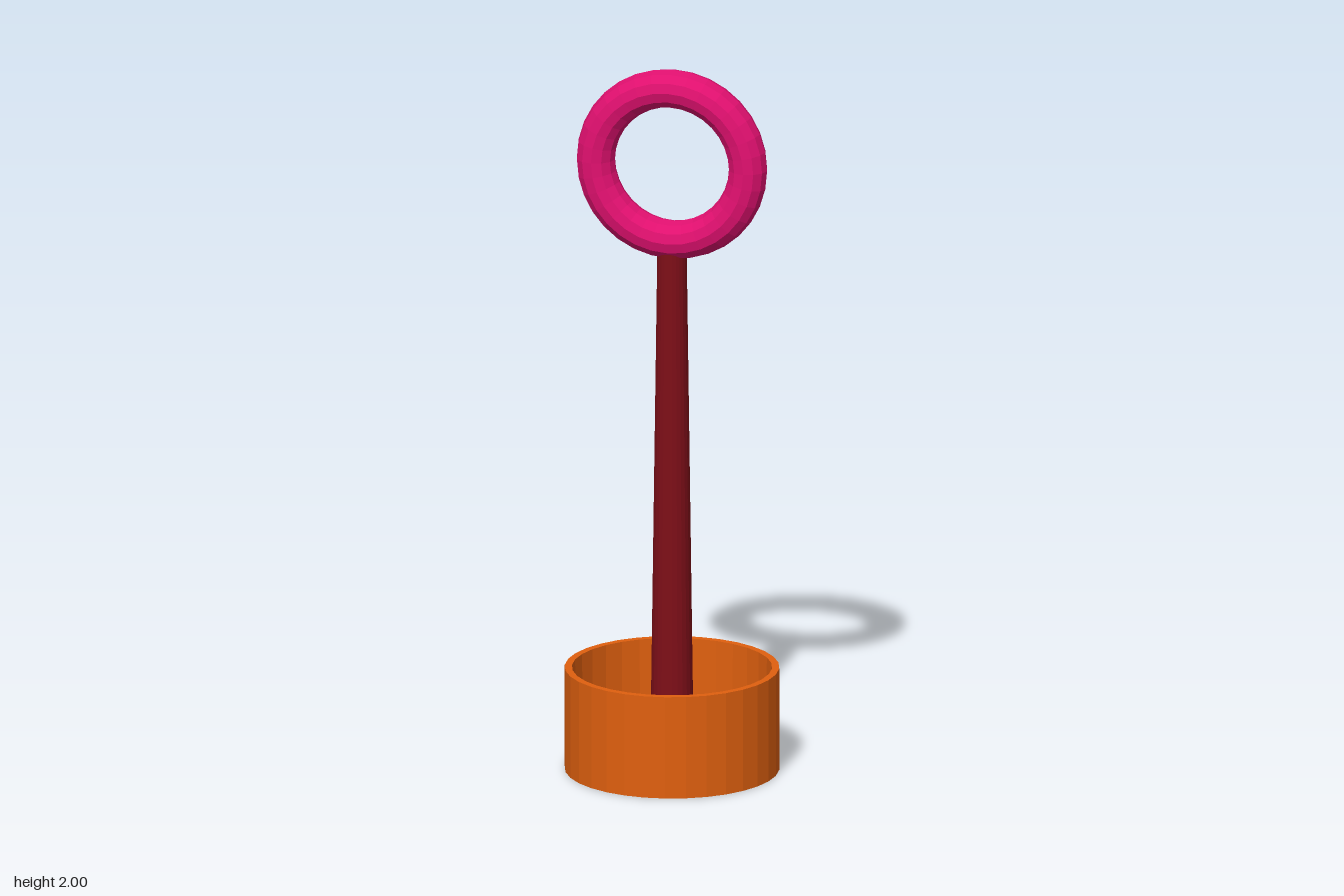
import * as THREE from 'three';

function part(name, geometry, color, y = 0) {
  const material = new THREE.MeshStandardMaterial({ color, flatShading: true });
  const mesh = new THREE.Mesh(geometry, material);
  mesh.name = name;
  mesh.position.y = y;
  return mesh;
}

export function createModel() {
  const model = new THREE.Group();
  model.name = 'ringOnPole';

  // Round open cup with a thick floor, turned from a wall profile
  const profile = [
    [0, 0], [0.295, 0], [0.295, 0.29], [0.275, 0.29], [0.273, 0.115], [0, 0.115],
  ].map(([r, y]) => new THREE.Vector2(r, y));
  model.add(part('base', new THREE.LatheGeometry(profile, 32), 0xe0600f));

  // Tapered pole from the cup floor into the ring
  const bottom = 0.1, top = 1.51;
  const pole = new THREE.CylinderGeometry(0.04, 0.059, top - bottom, 24);
  model.add(part('pole', pole, 0x7e0f18, (bottom + top) / 2));

  // Upright ring facing the front
  const ring = new THREE.TorusGeometry(0.216, 0.054, 12, 32);
  model.add(part('ring', ring, 0xe0106f, 1.73));

  return model;
}
